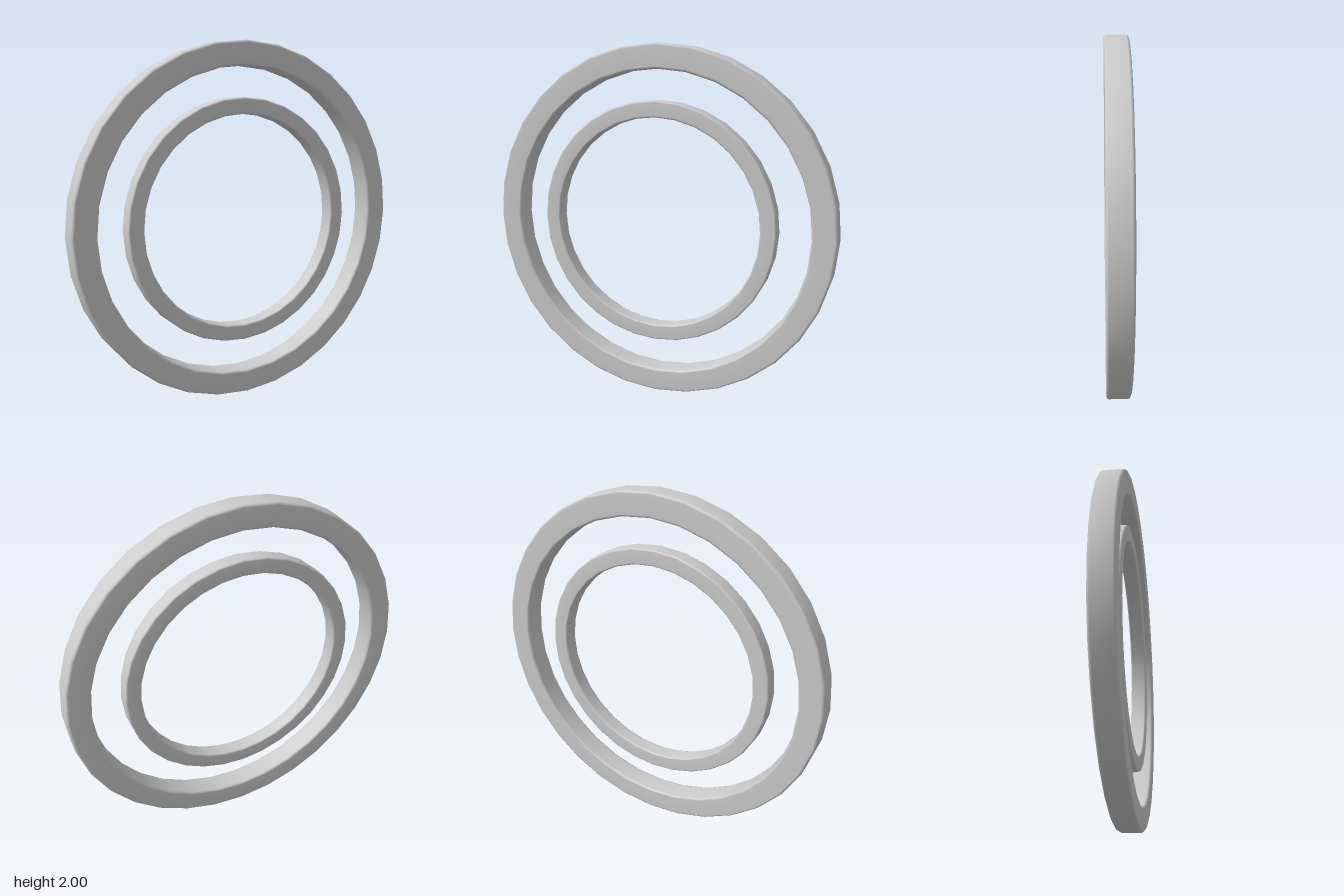
import * as THREE from 'three';

const material = new THREE.MeshStandardMaterial({ color: 0xcccccc });

// Upright 32-sided ring with a rectangular section and softly rounded edges
function makeRing(name, inner, outer, depth, bevel) {
  const h = depth / 2;
  const profile = [new THREE.Vector2(outer, 0)];
  const corners = [
    [outer - bevel, h - bevel, 0],
    [inner + bevel, h - bevel, 1],
    [inner + bevel, -h + bevel, 2],
    [outer - bevel, -h + bevel, 3],
  ];
  for (const [x, y, quarter] of corners) {
    for (let i = 0; i <= 2; i++) {
      const a = (quarter + i / 2) * Math.PI / 2;
      profile.push(new THREE.Vector2(x + bevel * Math.cos(a), y + bevel * Math.sin(a)));
    }
  }
  profile.push(profile[0].clone());
  const geometry = new THREE.LatheGeometry(profile, 32);
  geometry.rotateX(Math.PI / 2);
  const ring = new THREE.Mesh(geometry, material);
  ring.name = name;
  return ring;
}

export function createModel() {
  const group = new THREE.Group();
  group.name = 'concentricRings';

  // Large outer ring standing on the ground
  const outerRing = makeRing('outerRing', 0.866, 1, 0.13, 0.014);
  outerRing.position.y = 1;

  // Smaller ring floating inside, very slightly off centre
  const innerRing = makeRing('innerRing', 0.601, 0.691, 0.092, 0.01);
  innerRing.position.set(-0.01, 1.007, 0);

  group.add(outerRing, innerRing);
  return group;
}
